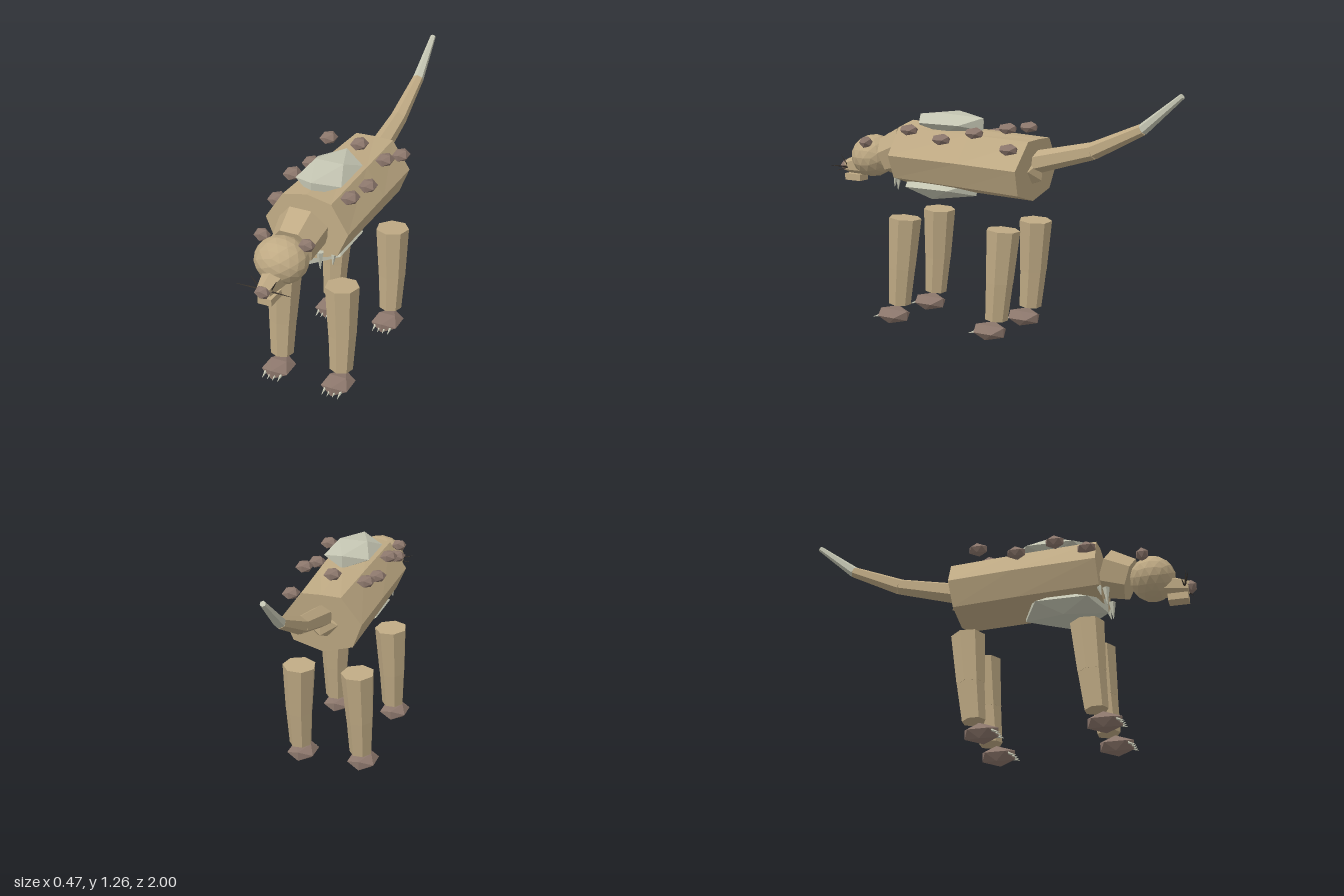
import * as THREE from 'three';

const mat = (name, color) => {
  const m = new THREE.MeshStandardMaterial({ color, flatShading: true });
  m.name = name;
  return m;
};

export function createModel() {
  const root = new THREE.Group();
  root.name = 'beast';
  const hide = mat('tanHide', 0xbfaa84);
  const brown = mat('mutedBrown', 0x8c776c);
  const plate = mat('paleGreyPlate', 0xc4c5b2);
  const dark = mat('darkWhisker', 0x3a332c);
  const V = (p) => new THREE.Vector3(...p);

  const add = (parent, name, geo, material) => {
    const mesh = new THREE.Mesh(geo, material);
    mesh.name = name;
    parent.add(mesh);
    return mesh;
  };
  // Faceted ellipsoid with the given half sizes
  const lump = (parent, name, pos, half, material, detail = 0) => {
    const k = detail ? 1 : 0.851;
    const mesh = add(parent, name, new THREE.IcosahedronGeometry(1, detail), material);
    mesh.position.set(...pos);
    mesh.scale.set(half[0] / k, half[1] / k, half[2] / k);
    return mesh;
  };
  // Tapered prism between two points
  const limb = (parent, name, a, b, ra, rb, sides, material) => {
    const dir = V(b).sub(V(a));
    const mesh = add(parent, name, new THREE.CylinderGeometry(rb, ra, dir.length(), sides), material);
    mesh.position.copy(V(a)).addScaledVector(dir, 0.5);
    mesh.quaternion.setFromUnitVectors(new THREE.Vector3(0, 1, 0), dir.normalize());
    return mesh;
  };

  // Trunk, lofted from cross-sections running front to back
  const section = (half, zTop, zBottom) => {
    const yTop = half[0][1], yLow = half[half.length - 1][1];
    const ring = [...half, ...half.slice(1, -1).reverse().map(([x, y]) => [-x, y])];
    return ring.map(([x, y]) => [x, y, zBottom + (zTop - zBottom) * (y - yLow) / (yTop - yLow)]);
  };
  const rings = [
    section([[0, 1.047], [0.125, 1.022], [0.213, 0.885], [0.16, 0.765], [0, 0.71]], 0.53, 0.545),
    section([[0, 1.022], [0.112, 1.01], [0.207, 0.875], [0.157, 0.75], [0, 0.7]], 0.11, 0.13),
    section([[0, 1.0], [0.1, 0.997], [0.2, 0.862], [0.152, 0.735], [0, 0.69]], -0.228, -0.195),
  ];
  const pos = [];
  const tri = (...pts) => pts.forEach((p) => pos.push(...p));
  const n = rings[0].length;
  const [front, back] = [rings[0], rings[2]];
  const mid = (r) => [0, (r[0][1] + r[4][1]) / 2, (r[0][2] + r[4][2]) / 2];
  for (let i = 0; i < n; i++) {
    const j = (i + 1) % n;
    for (let k = 0; k < 2; k++) {
      const f = rings[k], b = rings[k + 1];
      tri(f[i], f[j], b[i]);
      tri(f[j], b[j], b[i]);
    }
    tri(mid(front), front[j], front[i]);
    tri(mid(back), back[i], back[j]);
  }
  const trunk = new THREE.BufferGeometry();
  trunk.setAttribute('position', new THREE.Float32BufferAttribute(pos, 3));
  trunk.computeVertexNormals();
  add(root, 'trunk', trunk, hide);

  // Back and belly plates
  lump(root, 'backPlate', [0, 1.05, 0.29], [0.118, 0.053, 0.193], plate);
  lump(root, 'bellyPlate', [0, 0.72, 0.35], [0.145, 0.06, 0.21], plate);

  // Warts along both flanks
  const heights = [1.02, 0.985, 1.03, 0.963];
  heights.forEach((y, i) => {
    lump(root, 'wart', [0.175, y, 0.43 - i * 0.197], [0.039, 0.026, 0.045], brown);
    if (i < 3) lump(root, 'wart', [-0.175, y, 0.33 - i * 0.197], [0.039, 0.026, 0.045], brown);
  });
  lump(root, 'wart', [-0.175, 0.965, 0.49], [0.039, 0.026, 0.045], brown);
  lump(root, 'wart', [0, 1.04, -0.048], [0.039, 0.026, 0.045], brown);

  // Neck and head
  limb(root, 'neck', [0, 0.895, 0.555], [0, 0.85, 0.68], 0.128, 0.108, 7, hide);
  const head = new THREE.Group();
  head.name = 'head';
  root.add(head);
  lump(head, 'skull', [0, 0.842, 0.788], [0.13, 0.112, 0.115], hide, 2);
  limb(head, 'snout', [0, 0.79, 0.85], [0, 0.773, 0.965], 0.062, 0.036, 6, hide);
  const jaw = add(head, 'jaw', new THREE.BoxGeometry(0.07, 0.035, 0.1), hide);
  jaw.position.set(0, 0.718, 0.91);
  lump(head, 'nose', [0, 0.776, 0.975], [0.034, 0.028, 0.025], brown);
  for (const s of [1, -1]) {
    lump(head, 'ear', [s * 0.113, 0.927, 0.755], [0.035, 0.028, 0.03], brown);
    // Whiskers
    for (const [x, y, z] of [[0.13, 0.79, 0.975], [0.125, 0.765, 0.94], [0.065, 0.84, 0.96]])
      limb(head, 'whisker', [s * 0.025, 0.77, 0.945], [s * x, y, z], 0.005, 0.001, 4, dark);
    // Spikes under the chest
    limb(root, 'chestSpike', [s * 0.083, 0.78, 0.565], [s * 0.085, 0.69, 0.57], 0.019, 0.002, 5, plate);
    limb(root, 'chestSpike', [s * 0.14, 0.765, 0.54], [s * 0.14, 0.715, 0.55], 0.013, 0.002, 5, plate);
  }

  // Legs, feet and claws
  for (const s of [1, -1]) for (const z of [0.555, -0.04]) {
    const leg = new THREE.Group();
    leg.name = z > 0 ? 'frontLeg' : 'hindLeg';
    leg.position.z = z;
    root.add(leg);
    limb(leg, 'upperLeg', [s * 0.161, 0.3, -0.06], [s * 0.153, 0.562, -0.078], 0.07, 0.085, 7, hide);
    limb(leg, 'lowerLeg', [s * 0.162, 0.108, -0.043], [s * 0.161, 0.302, -0.06], 0.058, 0.069, 7, hide);
    lump(leg, 'foot', [s * 0.163, 0.043, -0.005], [0.07, 0.039, 0.083], brown);
    for (let i = 0; i < 4; i++) {
      const x = s * 0.163 + (i - 1.5) * 0.028;
      limb(leg, 'claw', [x, 0.042, 0.05], [x, 0.026, 0.095], 0.009, 0.001, 5, plate);
    }
  }

  // Tail
  lump(root, 'tailRoot', [0, 0.845, -0.165], [0.08, 0.08, 0.08], hide);
  const tail = [[0, 0.885, -0.21, 0.057], [0, 0.965, -0.53, 0.043], [0, 1.085, -0.79, 0.029], [0, 1.252, -0.99, 0.014]];
  for (let i = 0; i < 3; i++) {
    const a = tail[i], b = tail[i + 1];
    limb(root, 'tailSegment', a.slice(0, 3), b.slice(0, 3), a[3], b[3], 6, i < 2 ? hide : plate);
  }
  return root;
}
